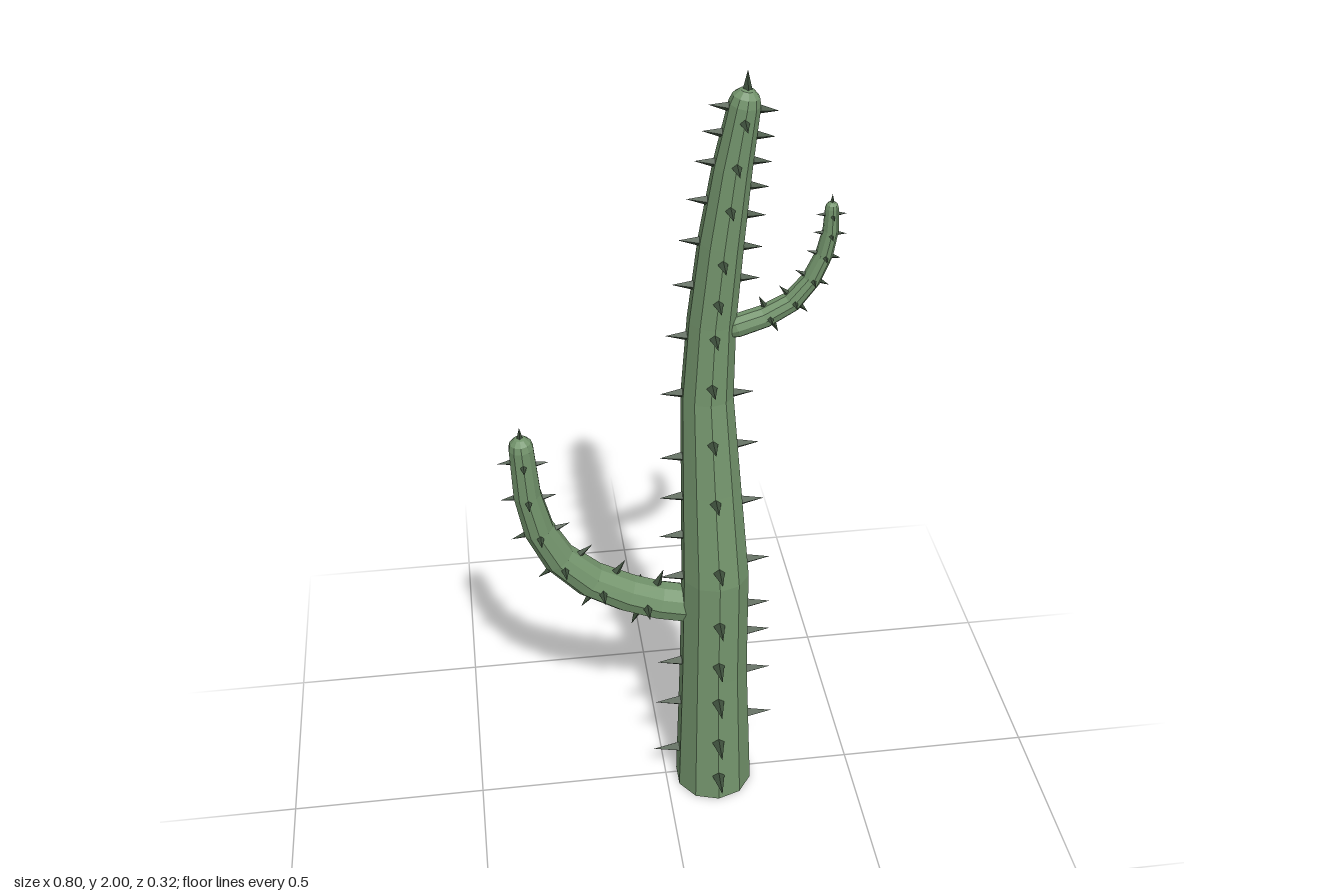
import * as THREE from 'three';
import { mergeGeometries } from 'three/addons/utils/BufferGeometryUtils.js';

const skin = new THREE.MeshStandardMaterial({ color: 0x73946c, flatShading: true, side: THREE.DoubleSide });
const thorn = new THREE.MeshStandardMaterial({ color: 0x40523e, flatShading: true });
const SIDES = 10;

// Frame across a limb: u points sideways, v towards the front
function frame(t) {
  const u = new THREE.Vector3(0, 0, 1).cross(t).normalize();
  return { t, u, v: t.clone().cross(u) };
}

// Path rows are [x, y, z, radius]
function limb(path) {
  const pts = path.map(p => new THREE.Vector3(p[0], p[1], p[2]));
  const n = pts.length;
  const rings = pts.map((c, i) => ({
    c, r: path[i][3],
    ...frame(pts[Math.min(i + 1, n - 1)].clone().sub(pts[Math.max(i - 1, 0)]).normalize()),
  }));
  const lengths = [0];
  for (let i = 1; i < n; i++) lengths.push(lengths[i - 1] + pts[i].distanceTo(pts[i - 1]));
  return { rings, lengths };
}

// Ring at a fraction of the limb's length
function sample({ rings, lengths }, f) {
  const d = f * lengths[lengths.length - 1];
  let i = 1;
  while (i < lengths.length - 1 && lengths[i] < d) i++;
  const k = (d - lengths[i - 1]) / (lengths[i] - lengths[i - 1]);
  const a = rings[i - 1], b = rings[i];
  return {
    c: a.c.clone().lerp(b.c, k), r: a.r + (b.r - a.r) * k,
    ...frame(a.t.clone().lerp(b.t, k).normalize()),
  };
}

// Extra rings that round off an end; dir is 1 for the tip, -1 for the base
function dome(ring, dir) {
  return [0.35, 0.7, 0.98].map(s => {
    const a = s * Math.PI / 2;
    return { ...ring, c: ring.c.clone().addScaledVector(ring.t, dir * ring.r * Math.sin(a)), r: ring.r * Math.cos(a) };
  });
}

function skinGeometry({ rings }, roundBase) {
  const all = [...rings, ...dome(rings[rings.length - 1], 1)];
  if (roundBase) all.unshift(...dome(rings[0], -1).reverse());
  const pos = [], idx = [];
  all.forEach(({ c, r, u, v }, i) => {
    for (let j = 0; j < SIDES; j++) {
      const a = (j + 0.5) / SIDES * Math.PI * 2;
      const p = c.clone().addScaledVector(u, r * Math.cos(a)).addScaledVector(v, r * Math.sin(a));
      pos.push(p.x, p.y, p.z);
      if (i === all.length - 1) continue;
      const k = (j + 1) % SIDES, o = i * SIDES;
      idx.push(o + j, o + k, o + SIDES + j, o + k, o + SIDES + k, o + SIDES + j);
    }
  });
  const g = new THREE.BufferGeometry();
  g.setAttribute('position', new THREE.Float32BufferAttribute(pos, 3));
  g.setIndex(idx);
  g.computeVertexNormals();
  return g;
}

// Four-sided cone from a surface point outwards
function spike(at, dir, length, radius) {
  const g = new THREE.ConeGeometry(radius, length, 4);
  g.translate(0, length / 2, 0);
  g.applyQuaternion(new THREE.Quaternion().setFromUnitVectors(new THREE.Vector3(0, 1, 0), dir));
  return g.translate(at.x, at.y, at.z);
}

// Rows of spikes at the four quarters (right, front, left, back) and one on the tip
function spikes(l, rows, size) {
  const out = [];
  rows.forEach((row, q) => row.forEach(f => {
    const s = sample(l, f), a = q * Math.PI / 2;
    const dir = s.u.clone().multiplyScalar(Math.cos(a)).addScaledVector(s.v, Math.sin(a)).normalize();
    const k = size * (1 - 0.4 * f);
    out.push(spike(s.c.clone().addScaledVector(dir, s.r * 0.92), dir, k, k * 0.24));
  }));
  const tip = l.rings[l.rings.length - 1];
  out.push(spike(tip.c.clone().addScaledVector(tip.t, tip.r * 0.85), new THREE.Vector3(0, 1, 0), size * 0.62, size * 0.15));
  return mergeGeometries(out);
}

function part(name, path, rows, size, roundBase) {
  const group = new THREE.Group();
  group.name = name;
  const l = limb(path);
  const body = new THREE.Mesh(skinGeometry(l, roundBase), skin);
  body.name = name + 'Skin';
  const thorns = new THREE.Mesh(spikes(l, rows, size), thorn);
  thorns.name = name + 'Spikes';
  group.add(body, thorns);
  return group;
}

export function createModel() {
  const model = new THREE.Group();
  model.name = 'cactus';

  // Trunk, with spike heights per row
  const heights = [
    [0.11, 0.28, 0.42, 0.57, 0.7, 0.82, 0.93, 1.04, 1.21, 1.36, 1.49, 1.6, 1.7, 1.79, 1.86, 1.92],
    [0.08, 0.2, 0.34, 0.46, 0.59, 0.75, 0.94, 1.1, 1.25, 1.38, 1.47, 1.57, 1.7, 1.8, 1.9],
    [0.21, 0.37, 0.5, 0.59, 0.73, 0.9, 1.06, 1.2, 1.38, 1.51, 1.59, 1.67, 1.74, 1.8, 1.86, 1.92],
    [0.08, 0.22, 0.35, 0.48, 0.61, 0.75, 0.9, 1.07, 1.22, 1.41, 1.5, 1.58, 1.66, 1.73, 1.81, 1.89],
  ];
  const trunk = part('trunk', [
    [0.128, 0, 0.015, 0.102], [0.122, 0.4, 0.018, 0.088], [0.122, 0.7, 0.015, 0.085],
    [0.112, 0.95, -0.01, 0.074], [0.102, 1.2, -0.03, 0.063], [0.11, 1.4, -0.032, 0.057],
    [0.127, 1.6, -0.026, 0.052], [0.147, 1.78, -0.017, 0.044], [0.168, 1.925, -0.007, 0.035],
  ], heights.map(row => row.map(y => y / 1.93)), 0.072, false);

  // Lower right arm
  const lower = [0.16, 0.33, 0.5, 0.66, 0.81, 0.95];
  const lowerArm = part('lowerArm', [
    [0.06, 0.595, 0, 0.05], [-0.02, 0.615, 0, 0.05], [-0.1, 0.65, 0.002, 0.049], [-0.19, 0.705, 0.004, 0.047],
    [-0.265, 0.785, 0.009, 0.042], [-0.31, 0.88, 0.014, 0.038], [-0.333, 0.99, 0.02, 0.034], [-0.341, 1.125, 0.025, 0.03],
  ], [lower, lower, lower.map(f => f - 0.02), lower], 0.05, true);

  // Upper left arm
  const upper = [0.2, 0.37, 0.54, 0.7, 0.84, 0.96];
  const upperArm = part('upperArm', [
    [0.165, 1.385, -0.02, 0.028], [0.23, 1.405, -0.02, 0.027], [0.29, 1.44, -0.018, 0.025], [0.332, 1.495, -0.015, 0.022],
    [0.358, 1.56, -0.011, 0.02], [0.368, 1.62, -0.007, 0.018], [0.367, 1.675, -0.004, 0.015],
  ], [upper, upper, upper, upper], 0.032, true);

  model.add(trunk, lowerArm, upperArm);
  return model;
}
